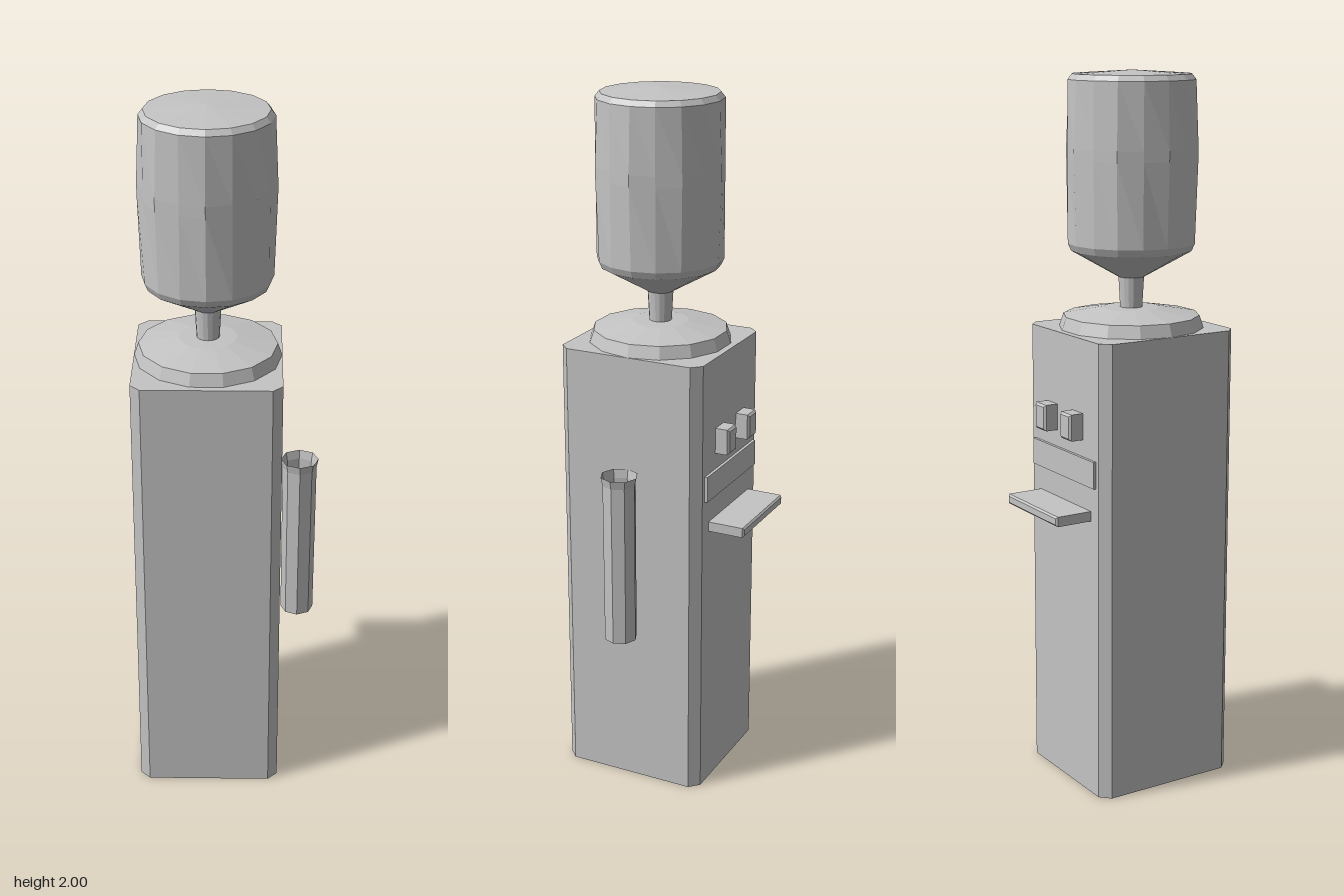
import * as THREE from 'three';

const CX = -0.054, CZ = 0.053; // vertical axis of the cabinet and bottle

export function createModel() {
  const group = new THREE.Group();
  const grey = new THREE.MeshStandardMaterial({ color: 0xc4c4c4, flatShading: true });
  const greyOpen = new THREE.MeshStandardMaterial({ color: 0xc4c4c4, flatShading: true, side: THREE.DoubleSide });

  const add = (name, geometry, x, y, z, material = grey) => {
    const mesh = new THREE.Mesh(geometry, material);
    mesh.name = name;
    mesh.position.set(x, y, z);
    group.add(mesh);
    return mesh;
  };
  const lathe = (profile, sides, start = 0) =>
    new THREE.LatheGeometry(profile.map(([r, y]) => new THREE.Vector2(r, y)), sides, start);

  // Block reaching from the cabinet back, its outer face slightly inset
  const block = (name, x0, x1, y0, y1, depth, inset) => {
    const g = new THREE.BoxGeometry(x1 - x0, y1 - y0, depth, 1, 1, 4);
    const p = g.attributes.position;
    for (let i = 0; i < p.count; i++) {
      const z = p.getZ(i);
      if (z < -depth / 2 + 1e-4) {
        p.setX(i, p.getX(i) - Math.sign(p.getX(i)) * inset);
        p.setY(i, p.getY(i) - Math.sign(p.getY(i)) * inset);
      } else if (z < -depth / 4 + 1e-4) {
        p.setZ(i, -depth / 2 + inset);
      }
    }
    add(name, g, (x0 + x1) / 2, (y0 + y1) / 2, -0.163 - depth / 2);
  };

  // Cabinet: rectangle with chamfered vertical corners
  const w = 0.2025, d = 0.2165, c = 0.027;
  const outline = new THREE.Shape([
    [w, -d + c], [w, d - c], [w - c, d], [-w + c, d],
    [-w, d - c], [-w, -d + c], [-w + c, -d], [w - c, -d],
  ].map(([x, y]) => new THREE.Vector2(x, y)));
  const cabinet = new THREE.ExtrudeGeometry(outline, { depth: 1.3, bevelEnabled: false });
  cabinet.rotateX(-Math.PI / 2);
  add('cabinet', cabinet, CX, 0, CZ);

  // Bottle seat
  add('bottleSeat', lathe([[0.2025, 1.298], [0.19, 1.335], [0.08, 1.355], [0, 1.357]], 14, Math.PI / 2), CX, 0, CZ);

  // Bottle with eight ridges swelling at the waist
  const profile = [[0.031, 1.35], [0.036, 1.44], [0.168, 1.515], [0.177, 1.535],
    [0.184, 1.765], [0.184, 1.795], [0.176, 1.975], [0.164, 1.99], [0, 2]];
  const bottle = lathe(profile, 16);
  const p = bottle.attributes.position;
  for (let i = 0; i < p.count; i++) {
    const ring = i % profile.length, side = Math.floor(i / profile.length);
    if (side % 2 && (ring === 4 || ring === 5)) {
      p.setX(i, p.getX(i) * 0.96);
      p.setZ(i, p.getZ(i) * 0.96);
    }
  }
  add('bottle', bottle, CX, 0, CZ);

  // Open cup tube on the left side
  add('cupTube', lathe([[0, 0.477], [0.047, 0.477], [0.048, 0.95], [0.053, 0.975]], 8), 0.202, 0, CZ, greyOpen);

  // Taps, panel and drip tray
  block('tapOuter', -0.15, -0.096, 1.022, 1.096, 0.042, 0.006);
  block('tapInner', -0.014, 0.04, 1.022, 1.096, 0.042, 0.006);
  block('panel', -0.218, 0.107, 0.9, 0.975, 0.009, 0);
  block('dripTray', -0.19, 0.08, 0.802, 0.83, 0.109, 0.005);

  return group;
}
